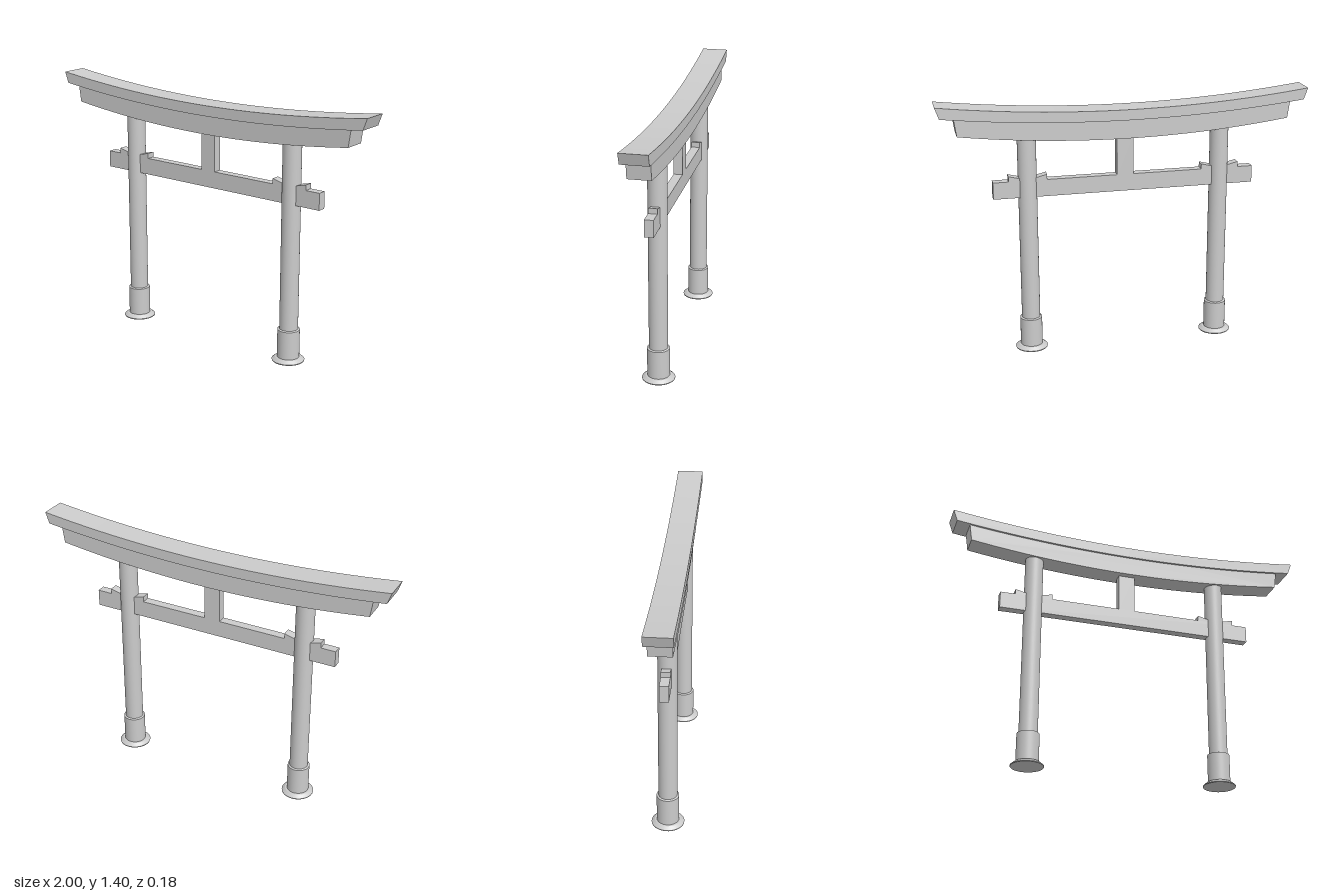
import * as THREE from 'three';

const material = new THREE.MeshStandardMaterial({ color: 0xcccccc });
const doubleSided = new THREE.MeshStandardMaterial({ color: 0xcccccc, side: THREE.DoubleSide });

function part(name, geometry, mat = material) {
  const mesh = new THREE.Mesh(geometry, mat);
  mesh.name = name;
  return mesh;
}

// Outline in x/y, extruded to a depth centred on z = 0
function slab(points, depth) {
  const shape = new THREE.Shape(points.map(([x, y]) => new THREE.Vector2(x, y)));
  return new THREE.ExtrudeGeometry(shape, { depth, bevelEnabled: false }).translate(0, 0, -depth / 2);
}

// Upswept beam: each edge is a shallow parabola { half width, middle y, end y }
function sweptBeam(top, bottom, depth) {
  const steps = 32;
  const edge = ({ half, mid, end }) => Array.from({ length: steps + 1 }, (_, i) => {
    const t = (i / steps) * 2 - 1;
    return [t * half, mid + (end - mid) * t * t];
  });
  return slab([...edge(bottom), ...edge(top).reverse()], depth);
}

// Revolve each straight run separately so the corners stay sharp
function turned(name, profile) {
  const group = new THREE.Group();
  group.name = name;
  for (let i = 0; i < profile.length - 1; i++) {
    const run = [profile[i], profile[i + 1]].map(([r, y]) => new THREE.Vector2(r, y));
    group.add(part(name + 'Surface', new THREE.LatheGeometry(run, 40), doubleSided));
  }
  return group;
}

export function createModel() {
  const model = new THREE.Group();
  model.name = 'gate';

  // Upper and lower curved roof beams
  model.add(part('topLintel', sweptBeam(
    { half: 1, mid: 1.335, end: 1.4 }, { half: 0.978, mid: 1.278, end: 1.338 }, 0.144)));
  model.add(part('lowerLintel', sweptBeam(
    { half: 0.905, mid: 1.278, end: 1.33 }, { half: 0.892, mid: 1.176, end: 1.238 }, 0.12)));

  // Straight tie beam and the short strut above it
  model.add(part('tieBeam', new THREE.BoxGeometry(1.426, 0.092, 0.048).translate(0, 0.922, 0)));
  model.add(part('centreStrut', new THREE.BoxGeometry(0.09, 0.23, 0.048).translate(0, 1.075, 0)));

  for (const side of [1, -1]) {
    const post = new THREE.Group();
    post.name = side > 0 ? 'leftPost' : 'rightPost';
    post.position.x = side * 0.527;

    // Round pillar, running up into the lower lintel
    post.add(part('pillar', new THREE.CylinderGeometry(0.05, 0.05, 1.05, 40).translate(0, 0.695, 0)));

    // Sleeve around the foot
    post.add(turned('sleeve', [[0.06, 0.015], [0.06, 0.178], [0.05, 0.182]]));

    // Flared foot plate with a recessed underside
    post.add(turned('footPlate', [
      [0, 0.012], [0.045, 0.012], [0.087, 0], [0.088, 0.005], [0.07, 0.02], [0.055, 0.022]]));

    // Wedges driven in on both sides of the pillar, thin end inward
    for (const dir of [1, -1]) {
      const outline = [[0.03, 0.96], [0.103, 0.96], [0.103, 0.997], [0.03, 0.979]]
        .map(([x, y]) => [x * dir, y]);
      post.add(part('wedge', slab(outline, 0.048)));
    }
    model.add(post);
  }
  return model;
}
